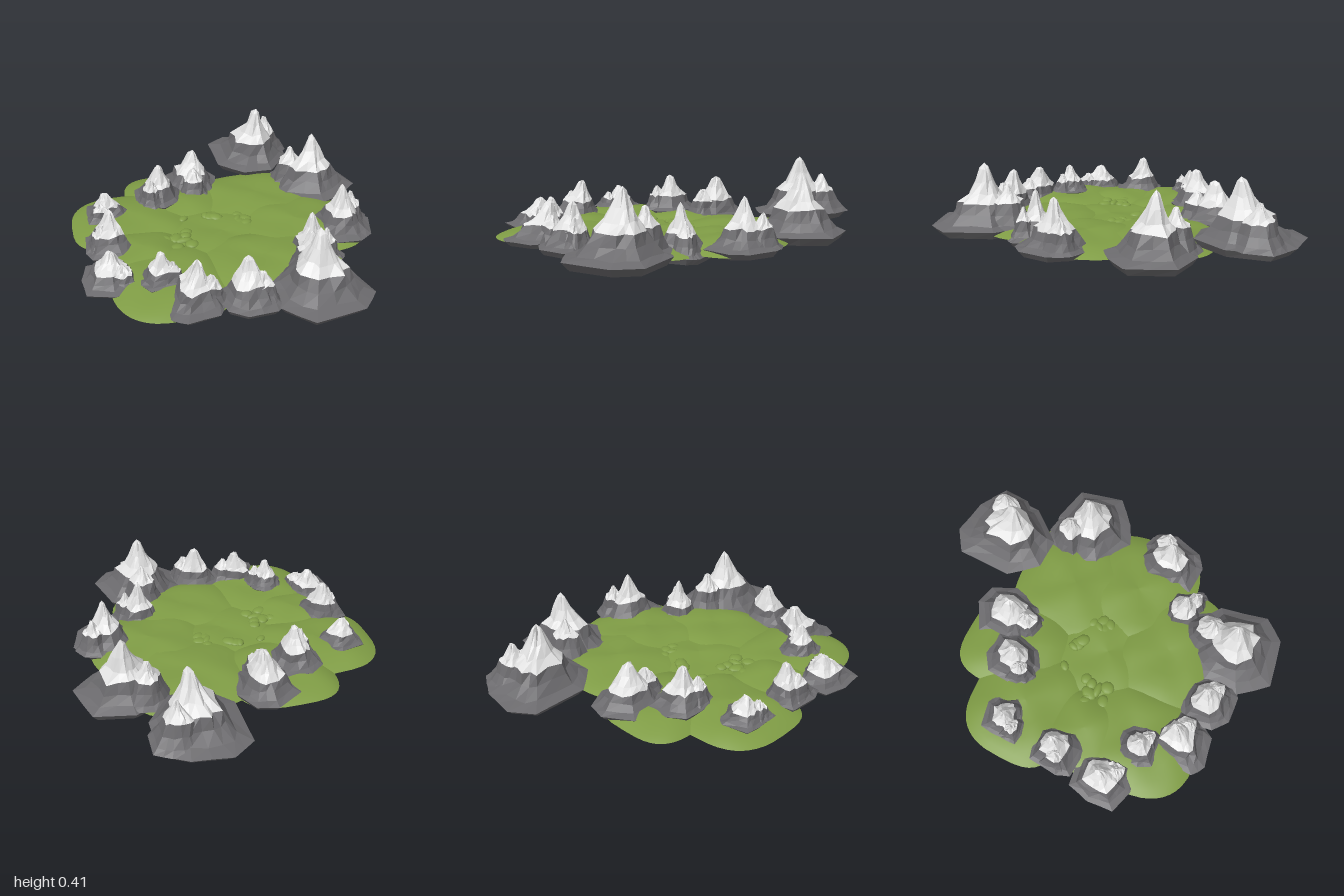
import * as THREE from 'three';

let seed = 7;
const rnd = () => { seed = (seed * 16807) % 2147483647; return seed / 2147483647 - 0.5; };
const lerp = THREE.MathUtils.lerp;

// Skin between closed rings of equal length, each ring running clockwise from above
function loft(rings) {
  const n = rings[0].length, idx = [];
  for (let j = 0; j < rings.length - 1; j++)
    for (let i = 0; i < n; i++) {
      const a = j * n + i, b = j * n + (i + 1) % n;
      idx.push(a, a + n, b, b, a + n, b + n);
    }
  const g = new THREE.BufferGeometry();
  g.setAttribute('position', new THREE.Float32BufferAttribute(rings.flat(2), 3));
  g.setIndex(idx);
  g.computeVertexNormals();
  return g;
}

// Point on a rounded square of half size 1
const rounded = (a, e) => [Math.cos(a), Math.sin(a)].map((v) => Math.sign(v) * Math.abs(v) ** e);

// [radius fraction, height fraction, jaggedness] from foot to snow line, then to summit
const ROCK = [[0.86, -0.15, 0], [1, 0.14, 0.02], [0.78, 0.28, 0.12], [0.6, 0.6, 0.14], [0.48, 1, 0.2]];
const SNOW = [[0.32, 0.22, 0.22], [0.19, 0.52, 0.22], [0.09, 0.85, 0.22], [0, 1, 0]];

// Footprint x, z, half sizes, summit x, z, y, direction of the lesser peak, base height
const LARGE = [
  [0.34, -0.73, 0.23, 0.27, 0.37, -0.68, 0.415, -0.8, 0.08],
  [0.595, -0.29, 0.25, 0.23, 0.6, -0.32, 0.38, -2.5, 0.045],
  [0.6, 0.18, 0.17, 0.2, 0.59, 0.19, 0.31, -0.55, 0.045],
  [0.36, 0.385, 0.16, 0.15, 0.35, 0.38, 0.28, 0.6, 0.017],
  [0.275, 0.72, 0.245, 0.27, 0.27, 0.7, 0.385, -1.45, 0.04],
];
const SMALL = [
  [-0.08, 0.72, 0.15, 0.14, -0.08, 0.68, 0.28, 0.7, 0.045],
  [-0.34, 0.68, 0.14, 0.16, -0.31, 0.61, 0.25, 0.7, 0.045],
  [-0.46, 0.475, 0.11, 0.11, -0.46, 0.48, 0.24, 0.5, 0.075],
  [-0.695, 0.375, 0.145, 0.165, -0.69, 0.35, 0.2, 0.9, 0.045],
  [-0.66, 0.095, 0.13, 0.135, -0.65, 0.06, 0.27, 2.5, 0.06],
  [-0.615, -0.25, 0.125, 0.11, -0.64, -0.23, 0.21, 2, 0.075],
  [-0.315, -0.345, 0.135, 0.155, -0.31, -0.33, 0.29, 2.5, 0.075],
  [-0.1, -0.495, 0.17, 0.195, -0.08, -0.48, 0.285, 1.8, 0.055],
];

// Grassy patches: centre x, z and half sizes
const PATCHES = [
  [-0.5, -0.18, 0.33, 0.29], [-0.22, -0.37, 0.28, 0.3], [0.24, -0.24, 0.34, 0.33],
  [0.36, 0.1, 0.34, 0.32], [0.1, 0.4, 0.38, 0.29], [-0.41, 0.45, 0.3, 0.33],
  [-0.5, 0.17, 0.23, 0.22], [-0.05, 0.1, 0.34, 0.3],
];

// Clusters of mounds: centre x, z, spread x, z, count
const MOUNDS = [[-0.3, 0.15, 0.14, 0.2, 9], [0.07, 0.02, 0.07, 0.2, 6], [-0.13, -0.07, 0.2, 0.04, 4]];

// Irregular polygon fitted to half sizes rx, rz, with a midpoint on every edge
function footprint(rx, rz) {
  const turn = rnd() * 2;
  const corners = Array.from({ length: 8 }, (_, i) => {
    const r = 1 + rnd() * 0.28;
    return rounded(turn + ((i + rnd() * 0.5) / 8) * Math.PI * 2, 0.8).map((v) => v * r);
  });
  const fit = [rx, rz].map((half, k) => {
    const v = corners.map((p) => p[k]), lo = Math.min(...v), hi = Math.max(...v);
    return (t) => half * (2 * (t - lo) / (hi - lo) - 1);
  });
  const pts = corners.map(([x, z]) => [fit[0](x), fit[1](z)]);
  return pts.flatMap((p, i) => {
    const q = pts[(i + 1) % pts.length];
    return [p, [(p[0] + q[0]) / 2, (p[1] + q[1]) / 2]];
  });
}

// Low swelling dome with a thin edge
function createPatch([cx, cz, rx, rz], k) {
  const sides = 40;
  const rise = k === PATCHES.length - 1 ? 0.035 : 0.052;
  return loft([1, 0.96, 0.88, 0.75, 0.58, 0.38, 0.18, 0].map((f) =>
    Array.from({ length: sides }, (_, i) => {
      const a = (i / sides) * Math.PI * 2, [c, s] = rounded(a, 0.66);
      const r = f * (1 + 0.025 * Math.sin(3 * a + k * 2));
      const x = cx + rx * r * c, z = cz + rz * r * s;
      const roll = 0.01 * Math.sin(x * 17 + k) * Math.cos(z * 15) * (1 - f * f);
      return [x, 0.038 + rise * (1 - f ** 3.5) + roll, z];
    })));
}

// Rock and snow surfaces of one peak; spokes run from the summit axis to the foot
function createPeak(rock, spokes, [px, pz], base, line, top, blunt) {
  const rings = (profile, lo, hi) => profile.map(([f, h, jag]) => spokes.map(([dx, dz]) => {
    const r = f ** blunt * (1 + rnd() * jag);
    return [px + dx * r, lerp(lo, hi, h) + rnd() * jag * 0.09, pz + dz * r];
  }));
  const rocks = rings(rock, base, line);
  return [loft(rocks), loft([rocks[rocks.length - 1], ...rings(SNOW, line, top)])];
}

export function createModel() {
  const group = new THREE.Group();
  const mat = (name, color, flatShading) =>
    new THREE.MeshStandardMaterial({ name, color, flatShading, side: THREE.DoubleSide });
  const grass = mat('grass', 0x7f9c45, false);
  const rock = mat('rock', 0x6c6b6e, true);
  const snow = mat('snow', 0xe2e2e2, true);
  const add = (parent, name, geo, material) => {
    const m = new THREE.Mesh(geo, material);
    m.name = name;
    parent.add(m);
    return m;
  };

  // Rolling meadow
  const meadow = new THREE.Group();
  meadow.name = 'meadow';
  group.add(meadow);
  PATCHES.forEach((p, k) => add(meadow, 'grassPatch', createPatch(p, k), grass));

  // Low mounds around the central clearing
  const dome = new THREE.SphereGeometry(1, 10, 4, 0, Math.PI * 2, 0, Math.PI / 2);
  for (const [x, z, w, d, count] of MOUNDS)
    for (let i = 0; i < count; i++) {
      const m = add(meadow, 'mound', dome, grass);
      m.position.set(x + rnd() * w, 0.066, z + rnd() * d);
      m.scale.set(0.035 + rnd() * 0.03, 0.016 + rnd() * 0.006, 0.03 + rnd() * 0.02);
      m.rotation.y = rnd() * 3;
    }

  // Ring of snow-capped mountains, each with a main and a lesser peak
  [...LARGE, ...SMALL].forEach(([x, z, rx, rz, px, pz, top, side, base], i) => {
    const mountain = new THREE.Group();
    mountain.name = 'mountain';
    group.add(mountain);
    const blunt = i < LARGE.length ? 1 : 0.82;
    const foot = footprint(rx, rz);
    const line = lerp(base, top, 0.42);
    const main = createPeak(ROCK, foot.map(([u, v]) => [x + u - px, z + v - pz]),
      [px, pz], base, line, top, blunt);
    const lesser = createPeak(ROCK.slice(1), foot.map(([u, v]) => [u * 0.6, v * 0.6]),
      [px + Math.cos(side) * rx * 0.52, pz + Math.sin(side) * rz * 0.52],
      base, line, lerp(base, top, 0.7), blunt);
    for (const [slope, cap] of [main, lesser]) {
      add(mountain, 'rockSlope', slope, rock);
      add(mountain, 'snowCap', cap, snow);
    }
  });
  return group;
}
